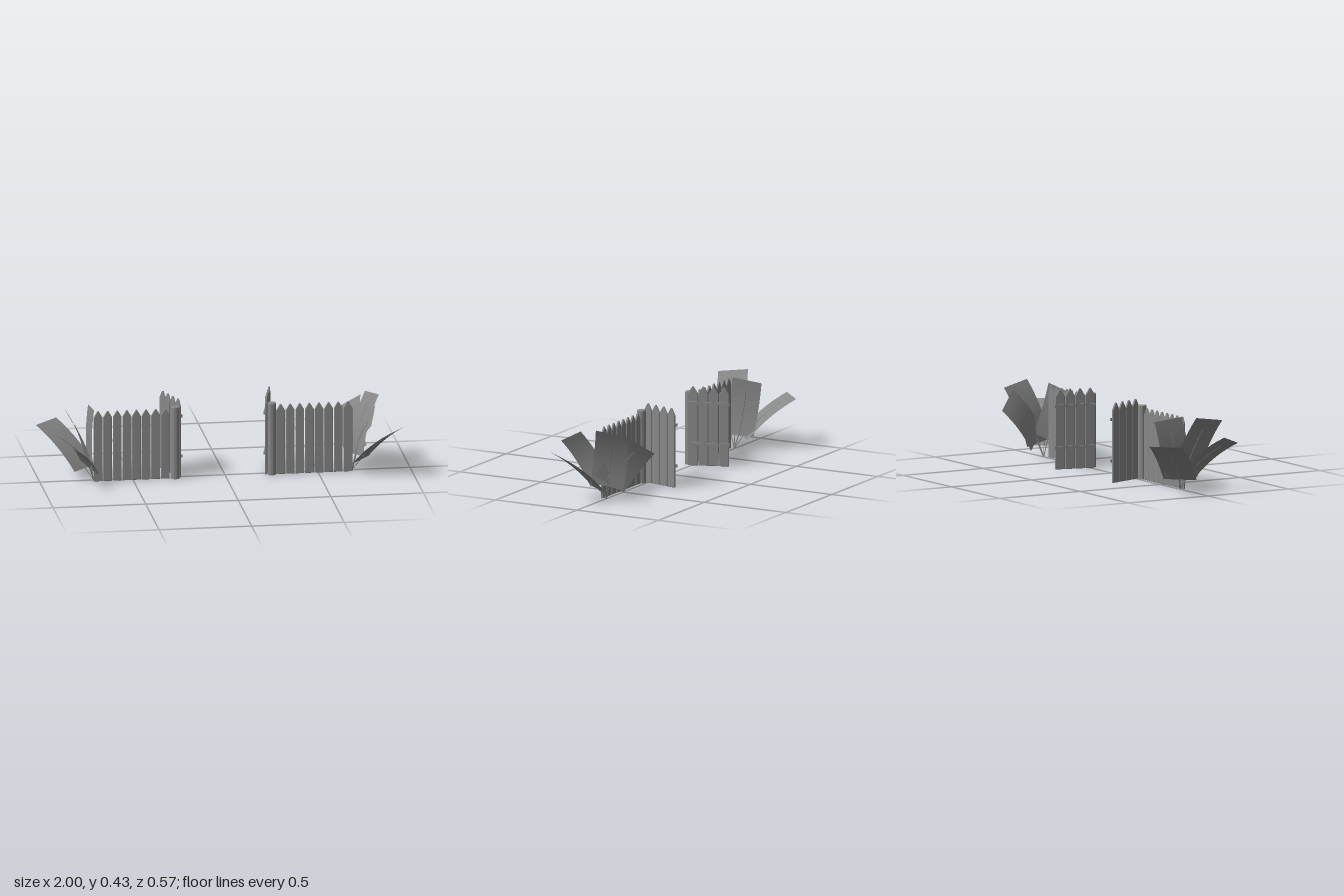
import * as THREE from 'three';
import { toCreasedNormals } from 'three/addons/utils/BufferGeometryUtils.js';

const grey = new THREE.MeshStandardMaterial({ color: 0x888888 });
const leafGrey = new THREE.MeshStandardMaterial({ color: 0x888888, side: THREE.DoubleSide });
const V = (a) => new THREE.Vector3(...a);

function add(parent, geometry, name, material = grey) {
  const mesh = new THREE.Mesh(geometry, material);
  mesh.name = name;
  parent.add(mesh);
  return mesh;
}

// Pointed board standing on y = 0, centred on x and z, with small bevels
function plankGeometry(width, shoulder, peak, thickness) {
  const b = 0.002, w = width / 2 - b;
  const shape = new THREE.Shape();
  shape.moveTo(-w, b);
  shape.lineTo(w, b);
  shape.lineTo(w, shoulder);
  shape.lineTo(0.002, peak - b);
  shape.lineTo(-0.002, peak - b);
  shape.lineTo(-w, shoulder);
  const depth = thickness - 2 * b;
  const g = new THREE.ExtrudeGeometry(shape, {
    depth, bevelEnabled: true, bevelThickness: b, bevelSize: b, bevelSegments: 1,
  });
  return g.translate(0, 0, -depth / 2);
}

// Row of fence boards along x
function fence(firstX, name) {
  const group = new THREE.Group();
  group.name = name;
  const g = plankGeometry(0.047, 0.353, 0.388, 0.011);
  for (let i = 0; i < 8; i++) {
    add(group, g, 'fencePlank').position.set(firstX + i * 0.0519, 0, 0.025);
  }
  return group;
}

// Round post with a softened rim
function post(x, name) {
  const r = 0.0235, h = 0.4;
  const profile = [[0, 0], [r, 0], [r, h - 0.004], [r - 0.004, h], [0, h]]
    .map(([a, b]) => new THREE.Vector2(a, b));
  const mesh = new THREE.Mesh(toCreasedNormals(new THREE.LatheGeometry(profile, 20), 0.6), grey);
  mesh.name = name;
  mesh.position.set(x, 0, 0.027);
  return mesh;
}

// Open gate: four tall boards with two rails on the inner face
function gate(hinge, end, railSide, name) {
  const group = new THREE.Group();
  group.name = name;
  const dx = end[0] - hinge[0], dz = end[1] - hinge[1];
  const length = Math.hypot(dx, dz), pitch = length / 4;
  const g = plankGeometry(pitch - 0.003, 0.393, 0.432, 0.011);
  for (let i = 0; i < 4; i++) add(group, g, 'gatePlank').position.x = (i + 0.5) * pitch;
  for (const y of [0.118, 0.342]) {
    add(group, new THREE.BoxGeometry(length + 0.004, 0.015, 0.008), 'gateRail')
      .position.set(length / 2 + 0.002, y, railSide * 0.009);
  }
  group.position.set(hinge[0], 0, hinge[1]);
  group.rotation.y = Math.atan2(-dz, dx);
  return group;
}

// Bowed rectangular leaf between a base edge and a tip edge, with a thin stem
function leaf(root, baseCentre, tipA, tipB, bow) {
  const group = new THREE.Group();
  group.name = 'leaf';
  const a = V(tipA), b = V(tipB), base = V(baseCentre);
  const half = b.clone().sub(a).multiplyScalar(0.5);
  const tip = a.clone().add(half);
  const normal = half.clone().cross(tip.clone().sub(base)).normalize();
  if (normal.y < 0) normal.negate();
  const middle = base.clone().lerp(tip, 0.5).addScaledVector(normal, bow * 2);
  const spine = new THREE.QuadraticBezierCurve3(base, middle, tip);

  const blade = new THREE.PlaneGeometry(1, 1, 2, 8);
  const pos = blade.attributes.position;
  for (let i = 0; i < pos.count; i++) {
    const p = spine.getPoint(pos.getY(i) + 0.5).addScaledVector(half, pos.getX(i) * 2);
    pos.setXYZ(i, p.x, p.y, p.z);
  }
  blade.computeVertexNormals();
  add(group, blade, 'leafBlade', leafGrey);

  const path = [V(root)];
  for (const t of [0.05, 0.3, 0.55, 0.8]) path.push(spine.getPoint(t));
  add(group, new THREE.TubeGeometry(new THREE.CatmullRomCurve3(path), 16, 0.0025, 6), 'leafStem');
  return group;
}

function plant(root, leaves, name) {
  const group = new THREE.Group();
  group.name = name;
  for (const [base, tipA, tipB, bow] of leaves) group.add(leaf(root, base, tipA, tipB, bow));
  return group;
}

export function createModel() {
  const model = new THREE.Group();
  model.name = 'fenceWithOpenGates';

  model.add(fence(-0.689, 'rightFence'), fence(0.297, 'leftFence'));
  model.add(post(-0.272, 'rightPost'), post(0.249, 'leftPost'));
  model.add(gate([-0.243, 0.022], [-0.322, -0.189], 1, 'rightGate'));
  model.add(gate([0.217, 0.028], [0.268, -0.191], -1, 'leftGate'));

  // Each leaf: base centre, two tip corners, bow height
  model.add(plant([-0.71, 0.003, 0], [
    [[-0.753, 0.06, -0.027], [-0.87, 0.272, -0.29], [-0.998, 0.272, -0.16], 0.016],
    [[-0.735, 0.077, 0.035], [-0.84, 0.246, 0.282], [-0.925, 0.295, 0.145], 0.018],
    [[-0.735, 0.075, 0.01], [-0.85, 0.378, 0.178], [-0.868, 0.404, 0.005], 0.018],
    [[-0.725, 0.075, -0.02], [-0.715, 0.375, -0.165], [-0.708, 0.39, 0.01], 0.01],
  ], 'rightPlant'));
  model.add(plant([0.69, 0.003, -0.007], [
    [[0.728, 0.057, 0.017], [0.998, 0.275, 0.093], [0.886, 0.275, 0.243], 0.016],
    [[0.714, 0.076, -0.023], [0.835, 0.406, -0.023], [0.785, 0.378, -0.198], 0.018],
    [[0.715, 0.091, -0.037], [0.66, 0.274, -0.285], [0.755, 0.37, -0.16], 0.018],
    [[0.703, 0.092, 0.025], [0.757, 0.308, 0.234], [0.8, 0.382, 0.09], 0.016],
  ], 'leftPlant'));
  return model;
}
